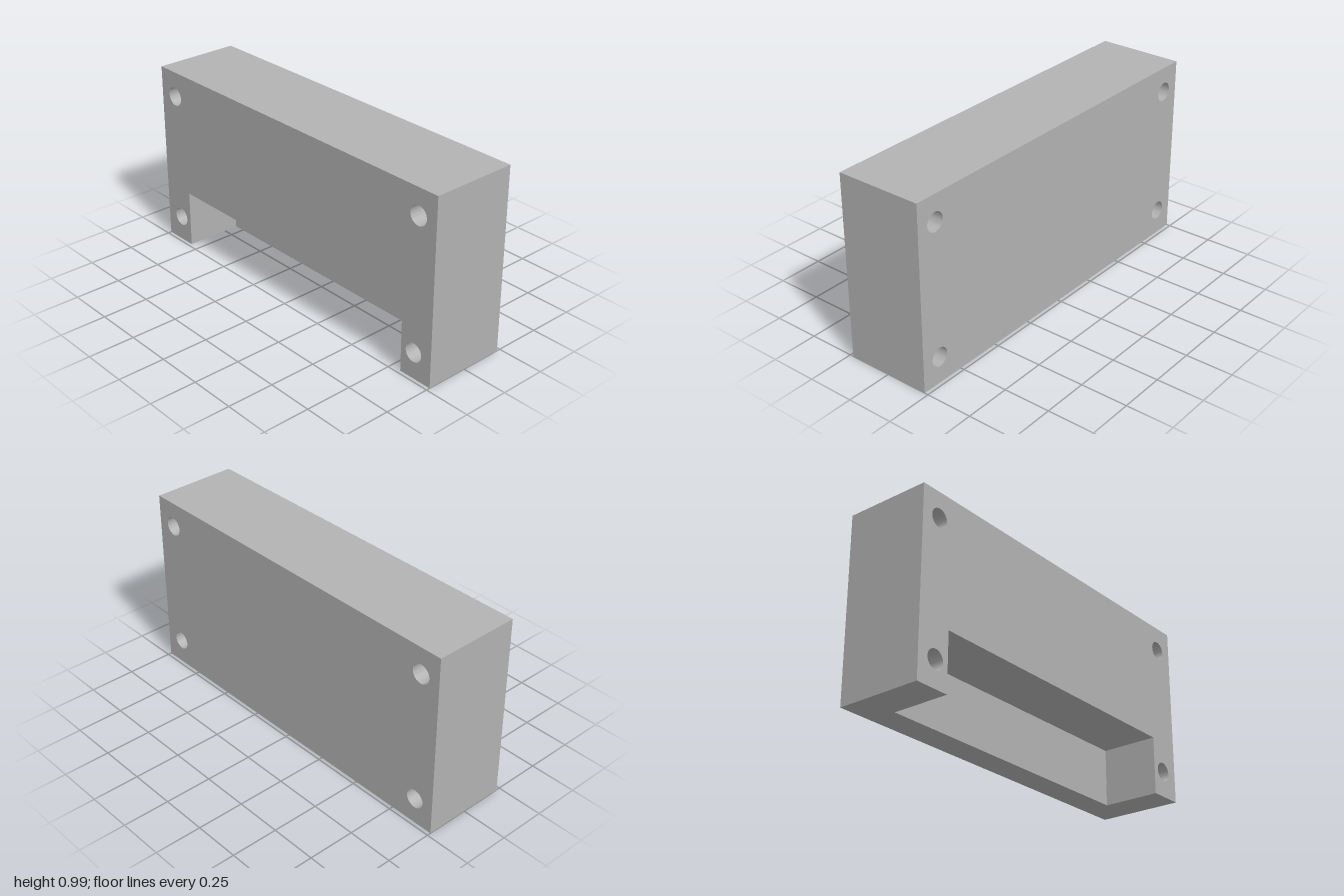
import * as THREE from 'three';
import { toCreasedNormals } from 'three/addons/utils/BufferGeometryUtils.js';

const W = 1, H = 0.985, D = 0.23;          // half width, height, half depth
const NOTCH_X = 0.81, NOTCH_Y = 0.31;      // front notch half width and height
const SEAM = -0.08;                        // z of the wall behind the notch

// Outline with four through holes near the corners
function outline(points) {
  const shape = new THREE.Shape(points.map(([x, y]) => new THREE.Vector2(x, y)));
  for (const x of [-0.89, 0.89]) {
    for (const y of [0.14, 0.848]) {
      shape.holes.push(new THREE.Path().absarc(x, y, 0.05, 0, Math.PI * 2, true));
    }
  }
  return shape;
}

// Extrude between two depths, leaving the hidden cap at the seam open
function slab(shape, z0, z1) {
  const geo = new THREE.ExtrudeGeometry(shape, { depth: z1 - z0, bevelEnabled: false, curveSegments: 32 });
  geo.translate(0, 0, z0);
  const p = geo.attributes.position;
  const kept = [];
  for (let i = 0; i < p.count; i += 3) {
    const onSeam = [0, 1, 2].every((k) => Math.abs(p.getZ(i + k) - SEAM) < 1e-5);
    if (onSeam) continue;
    for (let k = 0; k < 3; k++) kept.push(p.getX(i + k), p.getY(i + k), p.getZ(i + k));
  }
  const open = new THREE.BufferGeometry();
  open.setAttribute('position', new THREE.Float32BufferAttribute(kept, 3));
  return toCreasedNormals(open, Math.PI / 6);
}

export function createModel() {
  const group = new THREE.Group();
  const grey = new THREE.MeshStandardMaterial({ color: 0xb2b2b2 });
  grey.name = 'grey';

  const add = (name, geometry) => {
    const mesh = new THREE.Mesh(geometry, grey);
    mesh.name = name;
    group.add(mesh);
    return mesh;
  };

  // Front block with the notch between two legs
  add('frontBlock', slab(outline([
    [-W, 0], [-NOTCH_X, 0], [-NOTCH_X, NOTCH_Y], [NOTCH_X, NOTCH_Y],
    [NOTCH_X, 0], [W, 0], [W, H], [-W, H],
  ]), SEAM, D));

  // Full-height back plate
  add('backPlate', slab(outline([[-W, 0], [W, 0], [W, H], [-W, H]]), -D, SEAM));

  // Wall at the rear of the notch
  add('notchWall', new THREE.PlaneGeometry(NOTCH_X * 2, NOTCH_Y))
    .position.set(0, NOTCH_Y / 2, SEAM);

  return group;
}
